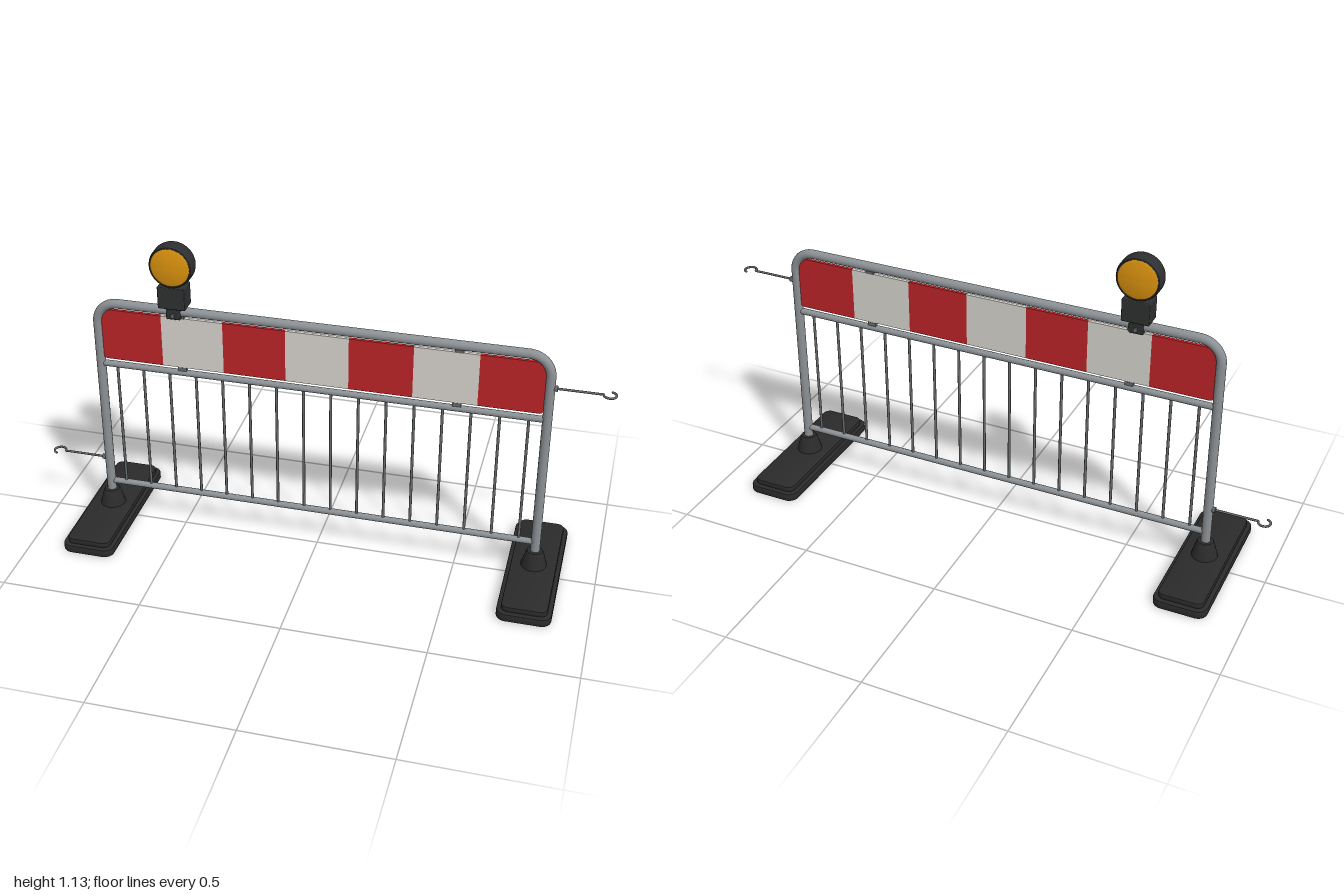
import * as THREE from 'three';
import { toCreasedNormals } from 'three/addons/utils/BufferGeometryUtils.js';
import { RoundedBoxGeometry } from 'three/addons/geometries/RoundedBoxGeometry.js';

const material = (name, color) => {
  const m = new THREE.MeshStandardMaterial({ color });
  m.name = name;
  return m;
};

// Rounded rectangle; corner radii for the left and right ends
function roundedRect(w, h, rl, rr = rl) {
  const s = new THREE.Shape(), x = w / 2, y = h / 2;
  s.moveTo(-x + rl, -y);
  s.lineTo(x - rr, -y);
  if (rr) s.absarc(x - rr, -y + rr, rr, -Math.PI / 2, 0, false);
  s.lineTo(x, y - rr);
  if (rr) s.absarc(x - rr, y - rr, rr, 0, Math.PI / 2, false);
  s.lineTo(-x + rl, y);
  if (rl) s.absarc(-x + rl, y - rl, rl, Math.PI / 2, Math.PI, false);
  s.lineTo(-x, -y + rl);
  if (rl) s.absarc(-x + rl, -y + rl, rl, Math.PI, Math.PI * 1.5, false);
  return s;
}

// Horizontal slab with rounded corners and bevelled edges, standing on y = 0
function slab(w, d, h, r, bevel) {
  const geo = new THREE.ExtrudeGeometry(roundedRect(w - 2 * bevel, d - 2 * bevel, r - bevel), {
    depth: h - 2 * bevel, bevelEnabled: true, bevelSize: bevel, bevelThickness: bevel,
    bevelSegments: 2, curveSegments: 8,
  });
  geo.translate(0, 0, bevel).rotateX(-Math.PI / 2);
  return toCreasedNormals(geo, 0.6);
}

const lathe = (pts, n) => toCreasedNormals(
  new THREE.LatheGeometry(pts.map(p => new THREE.Vector2(...p)), n), 0.6);

export function createModel() {
  const model = new THREE.Group();
  model.name = 'barrier';
  const steel = material('galvanised steel', 0x8c9195);
  const darkSteel = material('dark steel', 0x64696b);
  const rubber = material('black rubber', 0x2b2b2b);
  const plastic = material('black plastic', 0x2e2f30);
  const red = material('red', 0xbd2427);
  const white = material('white', 0xd8d5ce);
  const amber = material('amber', 0xdc930f);

  const add = (name, geo, mat, x = 0, y = 0, z = 0, parent = model) => {
    const m = new THREE.Mesh(geo, mat);
    m.name = name;
    m.position.set(x, y, z);
    parent.add(m);
    return m;
  };

  // Bent tube frame
  const X = 0.782, TOP = 0.88, R = 0.075;
  const path = new THREE.CurvePath();
  const v = (x, y) => new THREE.Vector3(x, y, 0);
  path.add(new THREE.LineCurve3(v(-X, 0.05), v(-X, TOP - R)));
  path.add(new THREE.CubicBezierCurve3(v(-X, TOP - R), v(-X, TOP - R * 0.448), v(-X + R * 0.448, TOP), v(-X + R, TOP)));
  path.add(new THREE.LineCurve3(v(-X + R, TOP), v(X - R, TOP)));
  path.add(new THREE.CubicBezierCurve3(v(X - R, TOP), v(X - R * 0.448, TOP), v(X, TOP - R * 0.448), v(X, TOP - R)));
  path.add(new THREE.LineCurve3(v(X, TOP - R), v(X, 0.05)));
  add('frameTube', new THREE.TubeGeometry(path, 240, 0.0165, 16), steel);

  // Cross rails
  for (const [name, y] of [['middleRail', 0.641], ['bottomRail', 0.145]])
    add(name, new THREE.CylinderGeometry(0.0115, 0.0115, X * 2, 14).rotateZ(Math.PI / 2), steel, 0, y);

  // Upright bars
  const barGeo = new THREE.CylinderGeometry(0.005, 0.005, 0.496, 10);
  for (let i = 0; i < 16; i++) add('uprightBar', barGeo, darkSteel, -0.722 + i * 1.444 / 15, 0.393);

  // Striped warning board
  const board = new THREE.Group();
  board.name = 'warningBoard';
  model.add(board);
  const w = 1.538 / 7;
  for (let i = 0; i < 7; i++) {
    const geo = new THREE.ExtrudeGeometry(roundedRect(w, 0.192, i === 0 ? 0.015 : 0, i === 6 ? 0.015 : 0),
      { depth: 0.012, bevelEnabled: false, curveSegments: 6 });
    add(i % 2 ? 'whiteStripe' : 'redStripe', geo, i % 2 ? white : red, (i - 3) * w, 0.76, -0.006, board);
  }
  // Board fixing tabs
  for (const x of [-0.48, 0.48])
    for (const y of [0.656, 0.862])
      add('boardTab', new THREE.BoxGeometry(0.03, 0.016, 0.014), darkSteel, x, y);

  // Weighted feet with sockets
  const lower = slab(0.188, 0.56, 0.03, 0.035, 0.005);
  const upper = slab(0.158, 0.526, 0.022, 0.025, 0.004);
  const socket = lathe([[0, 0], [0.046, 0], [0.042, 0.016], [0.031, 0.054], [0.027, 0.062], [0.016, 0.063], [0, 0.063]], 24);
  for (const s of [-1, 1]) {
    const foot = new THREE.Group();
    foot.name = s < 0 ? 'rightFoot' : 'leftFoot';
    foot.position.x = s * X;
    model.add(foot);
    add('footBase', lower, rubber, 0, 0, 0, foot);
    add('footStep', upper, rubber, 0, 0.027, 0, foot);
    add('footSocket', socket, rubber, 0, 0.047, 0, foot);
  }

  // Wire coupling hooks, one turned half round from the other
  const hookPts = [0.79, 0.84, 0.9, 0.94].map(x => new THREE.Vector3(x, 0, 0));
  for (let i = 0; i <= 12; i++) {
    const a = Math.PI - i * Math.PI * 1.4 / 12;
    hookPts.push(new THREE.Vector3(0.975 + 0.021 * Math.cos(a), 0, 0.021 * Math.sin(a)));
  }
  const hookGeo = new THREE.TubeGeometry(new THREE.CatmullRomCurve3(hookPts), 70, 0.004, 8);
  const capGeo = new THREE.SphereGeometry(0.004, 8, 6);
  for (const [name, y, turn] of [['leftHook', 0.763, 0], ['rightHook', 0.243, Math.PI]]) {
    const hook = new THREE.Group();
    hook.name = name;
    hook.position.y = y;
    hook.rotation.y = turn;
    model.add(hook);
    add('hookWire', hookGeo, darkSteel, 0, 0, 0, hook);
    add('hookTip', capGeo, darkSteel, ...hookPts[hookPts.length - 1].toArray(), hook);
    add('hookWeld', new THREE.CylinderGeometry(0.01, 0.01, 0.014, 12).rotateZ(Math.PI / 2), darkSteel, 0.8, 0, 0, hook);
  }

  // Warning lamp
  const lamp = new THREE.Group();
  lamp.name = 'warningLamp';
  lamp.position.x = -0.498;
  model.add(lamp);
  add('lampClamp', new RoundedBoxGeometry(0.05, 0.05, 0.044, 2, 0.004), plastic, 0, 0.881, 0, lamp);
  add('clampBolt', new THREE.CylinderGeometry(0.008, 0.008, 0.056, 6).rotateX(Math.PI / 2), darkSteel, 0, 0.872, 0, lamp);
  add('batteryBox', new RoundedBoxGeometry(0.096, 0.08, 0.068, 2, 0.003), plastic, 0, 0.94, 0, lamp);
  add('lampHousing', lathe([[0, -0.027], [0.068, -0.027], [0.07, -0.03], [0.073, -0.028], [0.076, -0.018],
    [0.076, 0.018], [0.073, 0.028], [0.07, 0.03], [0.068, 0.027], [0, 0.027]], 40).rotateX(Math.PI / 2),
  plastic, 0, 1.053, 0, lamp);

  // Ridged domed lenses on both faces
  const lensPts = [];
  for (let i = 0; i <= 16; i++) {
    const r = 0.068 * (1 - i / 16);
    lensPts.push([r, 0.0275 + 0.0085 * (1 - (r / 0.068) ** 2) + (i % 2 ? 0.0012 : 0)]);
  }
  const lensGeo = lathe(lensPts, 40);
  for (const s of [-1, 1])
    add(s > 0 ? 'frontLens' : 'backLens', lensGeo, amber, 0, 1.053, 0, lamp).rotation.x = s * Math.PI / 2;

  return model;
}
